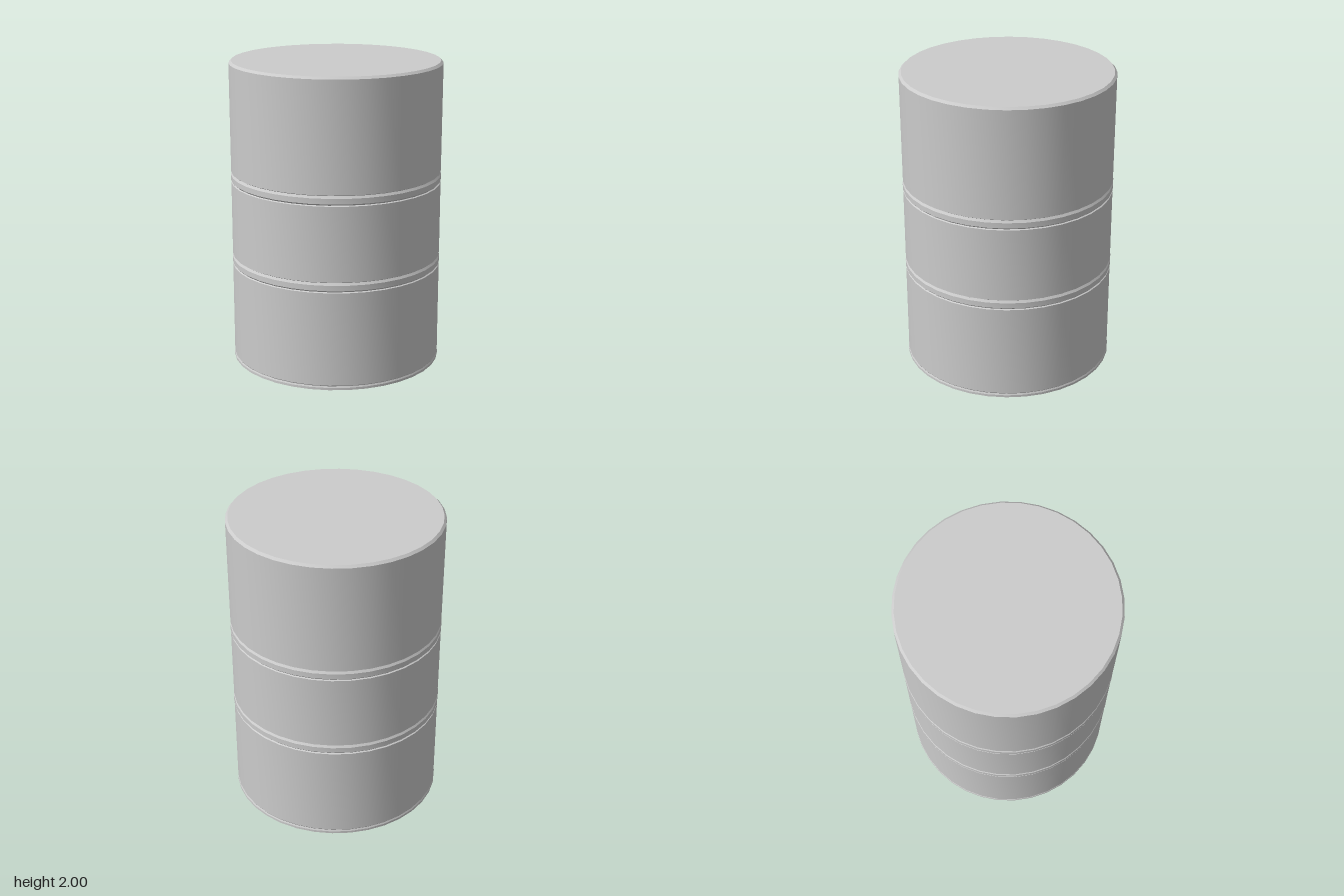
import * as THREE from 'three';
import { toCreasedNormals } from 'three/addons/utils/BufferGeometryUtils.js';

const SIDES = 36;
const R = 0.69;
const material = new THREE.MeshStandardMaterial({ color: 0xcccccc });

// Revolve a [radius, height] profile (bottom to top) with crisp bevels
function turned(name, profile) {
  const points = profile.map(([r, y]) => new THREE.Vector2(r, y));
  const geometry = toCreasedNormals(new THREE.LatheGeometry(points, SIDES), Math.PI / 7);
  const mesh = new THREE.Mesh(geometry, material);
  mesh.name = name;
  return mesh;
}

export function createModel() {
  const drum = new THREE.Group();
  drum.name = 'drum';

  const hoopHalf = 0.03;
  const hoopHeights = [0.683, 1.24];
  const groove = R - 0.01;

  // Flat bottom with a thin rolled rim
  drum.add(turned('base', [[0, 0], [R, 0], [R, 0.015], [R - 0.005, 0.025]]));

  // Three wall panels, turned in slightly where they meet the hoops
  const [low, high] = hoopHeights;
  drum.add(turned('lowerWall', [
    [R - 0.005, 0.025], [R - 0.002, 0.03], [R - 0.002, low - hoopHalf - 0.005], [groove, low - hoopHalf],
  ]));
  drum.add(turned('middleWall', [
    [groove, low + hoopHalf], [R - 0.002, low + hoopHalf + 0.005],
    [R - 0.002, high - hoopHalf - 0.005], [groove, high - hoopHalf],
  ]));
  drum.add(turned('upperWall', [
    [groove, high + hoopHalf], [R - 0.002, high + hoopHalf + 0.005], [R, 1.985],
  ]));

  // Raised hoops with bevelled edges
  for (const y of hoopHeights) {
    drum.add(turned('hoop', [
      [groove, y - hoopHalf], [R, y - hoopHalf + 0.01],
      [R, y + hoopHalf - 0.015], [groove, y + hoopHalf],
    ]));
  }

  // Bevelled lid
  drum.add(turned('lid', [[R, 1.985], [R - 0.015, 2], [0, 2]]));

  return drum;
}
